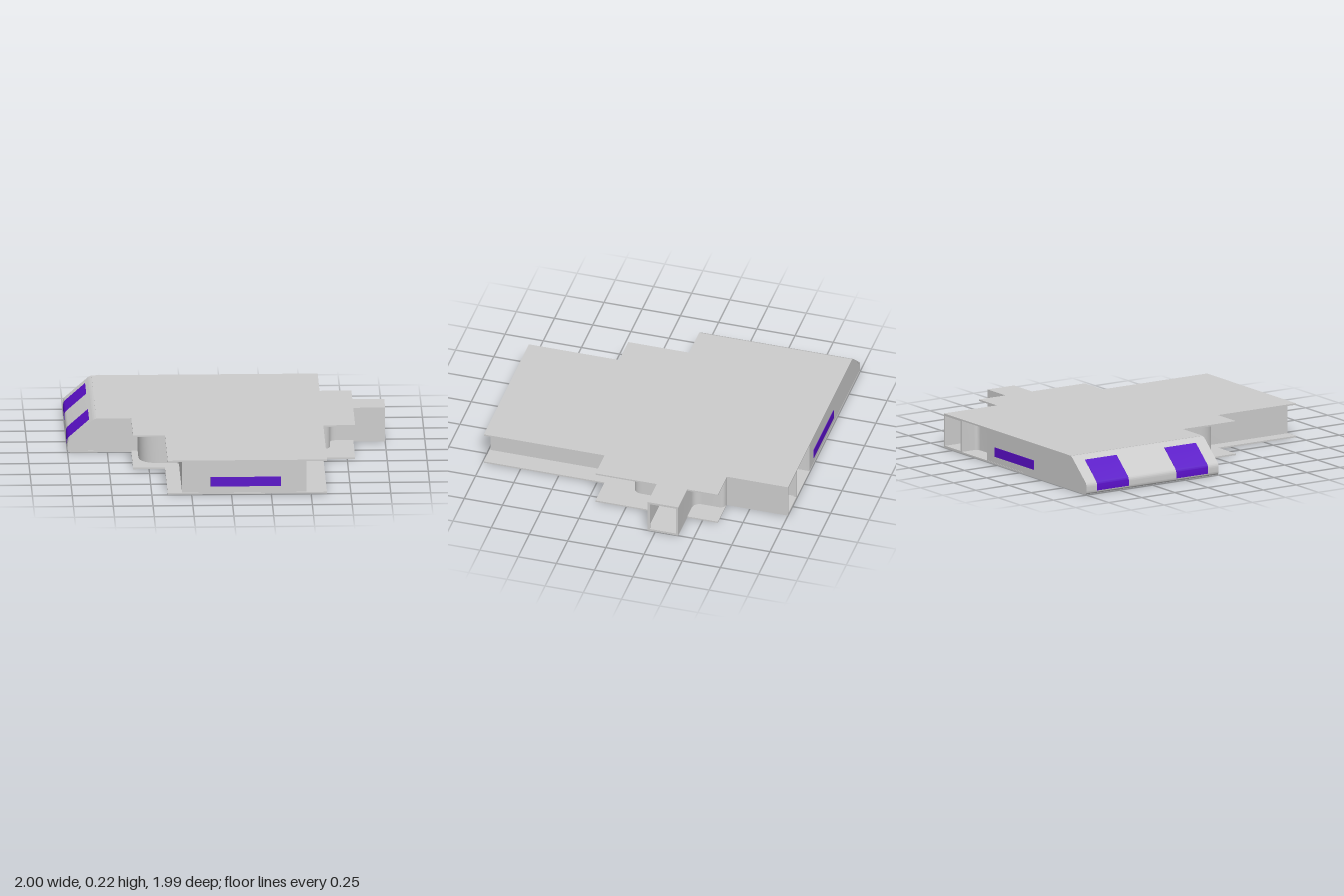
import * as THREE from 'three';
import { toCreasedNormals } from 'three/addons/utils/BufferGeometryUtils.js';

const H = 0.22, T = 0.01;
const grey = new THREE.MeshStandardMaterial({ color: 0xcccccc, side: THREE.DoubleSide });
const glass = new THREE.MeshStandardMaterial({ color: 0x5a0fc8 });

const toShape = (pts) => new THREE.Shape(pts.map(([x, y]) => new THREE.Vector2(x, y)));

// Path through corners [a, b, radius], rounding each corner that has a radius
function roundedPath(corners) {
  const v = corners.map(([a, b]) => new THREE.Vector2(a, b));
  const path = new THREE.Path().moveTo(v[0].x, v[0].y);
  for (let i = 1; i < v.length; i++) {
    const r = corners[i][2] || 0;
    if (!r || i === v.length - 1) { path.lineTo(v[i].x, v[i].y); continue; }
    const toward = (p) => v[i].clone().add(p.clone().sub(v[i]).setLength(r));
    const a = toward(v[i - 1]), b = toward(v[i + 1]);
    path.lineTo(a.x, a.y);
    path.quadraticCurveTo(v[i].x, v[i].y, b.x, b.y);
  }
  return path.getPoints(8);
}

// Upright ribbon following a plan path in x and z
function wallGeometry(corners) {
  const p = roundedPath(corners), pos = [];
  for (let i = 0; i < p.length - 1; i++) {
    const a = p[i], b = p[i + 1];
    if (a.distanceTo(b) < 1e-5) continue;
    const lo = T / 2, hi = H - T / 2;
    pos.push(a.x, lo, a.y, b.x, lo, b.y, b.x, hi, b.y, a.x, lo, a.y, b.x, hi, b.y, a.x, hi, a.y);
  }
  const g = new THREE.BufferGeometry();
  g.setAttribute('position', new THREE.Float32BufferAttribute(pos, 3));
  return toCreasedNormals(g, 0.6);
}

// Horizontal plate; x0 is where the sloped end begins
function plateGeometry(x0, y) {
  const outline = [
    [x0, -1], [0.6, -1], [0.6, -0.6], [0.8, -0.6], [0.8, -0.4], [1, -0.4], [1, -0.2], [0.8, -0.2],
    [0.8, 0.2], [0.6, 0.2], [0.6, 0.99], [-0.4, 0.99], [-0.4, 0.4], [-0.6, 0.4], [-0.6, 0], [x0, 0],
  ].map(([x, z]) => [x, -z]);
  return new THREE.ExtrudeGeometry(toShape(outline), { depth: T, bevelEnabled: false })
    .rotateX(-Math.PI / 2).translate(0, y, 0);
}

// Strip with a side profile in x and y, thickened inwards and swept along z
function sweptStrip(profile, offset, thick, z0, z1) {
  const pts = roundedPath(profile);
  const shift = (d) => pts.map((p, i) => {
    const a = pts[Math.max(i - 1, 0)], b = pts[Math.min(i + 1, pts.length - 1)];
    const t = b.clone().sub(a).normalize();
    return [p.x + t.y * d, p.y - t.x * d];
  });
  const shape = toShape([...shift(offset), ...shift(offset + thick).reverse()]);
  const g = new THREE.ExtrudeGeometry(shape, { depth: z1 - z0, bevelEnabled: false }).translate(0, 0, z0);
  return toCreasedNormals(g, 0.5);
}

export function createModel() {
  const group = new THREE.Group();
  const add = (name, geometry, material = grey) => {
    const mesh = new THREE.Mesh(geometry, material);
    mesh.name = name;
    group.add(mesh);
    return mesh;
  };

  // Floor and roof
  add('floor', plateGeometry(-0.97, 0));
  add('roof', plateGeometry(-0.82, H - T));

  // Sloped end shell and its two wrapped windows
  add('slopedEnd', sweptStrip(
    [[-0.95, 0], [-1, 0.0, 0.025], [-1, 0.07, 0.02], [-0.83, H, 0.025], [-0.8, H]], 0, T, -1, 0));
  for (const z of [-0.92, -0.32]) {
    add('slopedWindow', sweptStrip(
      [[-0.999, 0.02], [-0.999, 0.07, 0.02], [-0.862, 0.191]], -0.002, 0.016, z, z + 0.24), glass);
  }

  // End walls of the sloped section, cut to its profile
  const endWall = (x1, z) => {
    const shape = toShape([[-0.98, 0.003], [x1, 0.003], [x1, H - 0.003], [-0.825, H - 0.003],
      [-0.995, 0.07], [-0.995, 0.02]]);
    return new THREE.ExtrudeGeometry(shape, { depth: T, bevelEnabled: false }).translate(0, 0, z);
  };
  add('backWall', endWall(0.12, -0.999));
  add('sideEndWall', endWall(-0.56, -T - 0.001));

  // Upright walls, set in from the plate edges
  const walls = {
    frontWall: [[-0.31, 0.985], [0.47, 0.985]],
    leftWall: [[0.47, 0.985], [0.47, 0, 0.04], [0.65, 0, 0.06], [0.65, -0.2, 0.05], [1, -0.2]],
    leftRearWall: [[1, -0.4], [0.65, -0.4, 0.06], [0.65, -0.6, 0.04], [0.6, -0.6], [0.6, -1]],
    rightWall: [[-0.31, 0.985], [-0.31, 0.3, 0.03], [-0.56, 0.3, 0.15], [-0.56, 0]],
    backRecess: [[0.12, -0.995], [0.12, -0.88, 0.05], [0.4, -0.88, 0.03], [0.4, -1]],
  };
  for (const [name, corners] of Object.entries(walls)) add(name, wallGeometry(corners));

  // Square frames around the two open passage mouths
  const passageFrame = () => {
    const shape = toShape([[-0.1, 0], [0.1, 0], [0.1, H], [-0.1, H]]);
    shape.holes.push(toShape([[-0.086, 0.014], [0.086, 0.014], [0.086, H - 0.014], [-0.086, H - 0.014]]));
    return new THREE.ExtrudeGeometry(shape, { depth: 0.02, bevelEnabled: false });
  };
  add('sidePassageFrame', passageFrame().rotateY(Math.PI / 2).translate(0.98, 0, -0.3));
  add('backPassageFrame', passageFrame().translate(0.5, 0, -1));

  // Long windows on the front and back walls
  const longWindow = (name, x, z) =>
    add(name, new THREE.BoxGeometry(0.44, 0.06, 0.022), glass).position.set(x, 0.08, z);
  longWindow('frontWindow', 0.09, 0.98);
  longWindow('backWindow', -0.19, -0.991);

  return group;
}
